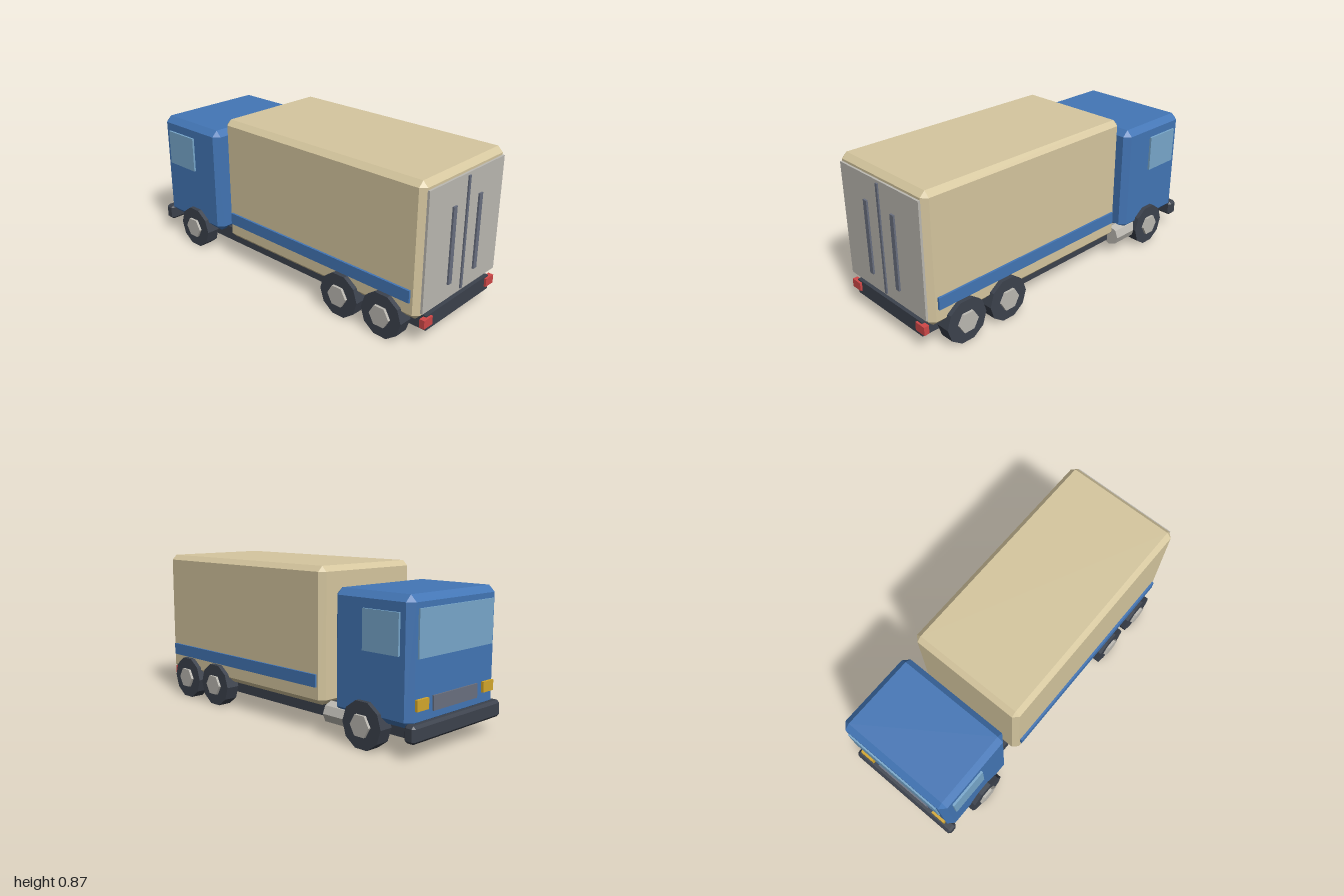
import * as THREE from 'three';
import { ConvexGeometry } from 'three/addons/geometries/ConvexGeometry.js';

const mat = (name, color) => {
  const m = new THREE.MeshStandardMaterial({ color });
  m.name = name;
  return m;
};

export function createModel() {
  const cream = mat('cream', 0xd6c79f), blue = mat('blue', 0x4376b6);
  const glass = mat('glass', 0x78a8cc), dark = mat('charcoal', 0x3c424d);
  const silver = mat('silver', 0xbcb9b2), steel = mat('steel', 0x6a7080);
  const red = mat('red', 0xd04848), amber = mat('amber', 0xd4a72c);

  const truck = new THREE.Group();
  truck.name = 'truck';

  const add = (name, geometry, material) => {
    const mesh = new THREE.Mesh(geometry, material);
    mesh.name = name;
    truck.add(mesh);
    return mesh;
  };

  // plain box given by its limits on each axis
  const box = (name, material, [x0, x1], [y0, y1], [z0, z1]) => {
    const g = new THREE.BoxGeometry(x1 - x0, y1 - y0, z1 - z0);
    g.translate((x0 + x1) / 2, (y0 + y1) / 2, (z0 + z1) / 2);
    return add(name, g, material);
  };

  // box with every edge chamfered by c
  const chamferBox = (name, material, [x0, x1], [y0, y1], [z0, z1], c) => {
    const half = [(x1 - x0) / 2, (y1 - y0) / 2, (z1 - z0) / 2];
    const points = [];
    for (const sx of [-1, 1]) for (const sy of [-1, 1]) for (const sz of [-1, 1]) {
      for (let full = 0; full < 3; full++) {
        const [x, y, z] = half.map((h, i) => (i === full ? h : h - c));
        points.push(new THREE.Vector3(sx * x, sy * y, sz * z));
      }
    }
    const g = new ConvexGeometry(points);
    g.translate((x0 + x1) / 2, (y0 + y1) / 2, (z0 + z1) / 2);
    return add(name, g, material);
  };

  // faceted cylinder
  const prism = (radius, length, sides) => {
    const g = new THREE.CylinderGeometry(radius, radius, length, sides).toNonIndexed();
    g.computeVertexNormals();
    return g;
  };

  // same limits on the other side of x = 0
  const side = (s, a, b) => (s > 0 ? [a, b] : [-b, -a]);

  // main bodies
  box('chassis', dark, [-0.28, 0.28], [0.08, 0.163], [-0.905, 0.988]);
  chamferBox('cargoBox', cream, [-0.348, 0.348], [0.15, 0.873], [-0.39, 0.978], 0.029);
  chamferBox('cab', blue, [-0.35, 0.35], [0.143, 0.775], [-0.965, -0.465], 0.034);
  chamferBox('bumper', dark, [-0.36, 0.36], [0.085, 0.175], [-1, -0.935], 0.014);

  // rear door and its bars
  box('rearDoor', silver, [-0.32, 0.32], [0.191, 0.832], [0.977, 0.99]);
  box('doorSeam', steel, [-0.008, 0.008], [0.205, 0.818], [0.989, 0.998]);

  // cab nose
  box('windscreen', glass, [-0.3, 0.3], [0.478, 0.712], [-0.974, -0.964]);
  box('grille', steel, [-0.18, 0.18], [0.213, 0.288], [-0.974, -0.964]);

  // fuel tank, on one side only
  const tank = add('fuelTank', prism(0.06, 0.19, 8), silver);
  tank.rotation.x = Math.PI / 2;
  tank.position.set(0.3, 0.12, -0.503);

  // paired parts
  for (const s of [-1, 1]) {
    box('doorBar', steel, side(s, 0.098, 0.126), [0.275, 0.693], [0.989, 1]);
    box('tailLight', red, side(s, 0.243, 0.313), [0.107, 0.155], [0.97, 1]);
    box('headlight', amber, side(s, 0.225, 0.313), [0.232, 0.288], [-0.98, -0.964]);
    box('sideWindow', glass, side(s, 0.349, 0.362), [0.488, 0.693], [-0.9, -0.675]);
    box('sideStripe', blue, side(s, 0.347, 0.36), [0.247, 0.315], [-0.35, 0.935]);

    for (const z of [-0.687, 0.5, 0.78]) {
      const tire = add('tire', prism(0.126, 0.08, 10), dark);
      tire.position.set(s * 0.335, 0.12, z);
      const hub = add('hub', prism(0.062, 0.06, 6), silver);
      hub.position.set(s * 0.36, 0.12, z);
      tire.rotation.z = hub.rotation.z = Math.PI / 2;
    }
  }
  return truck;
}
